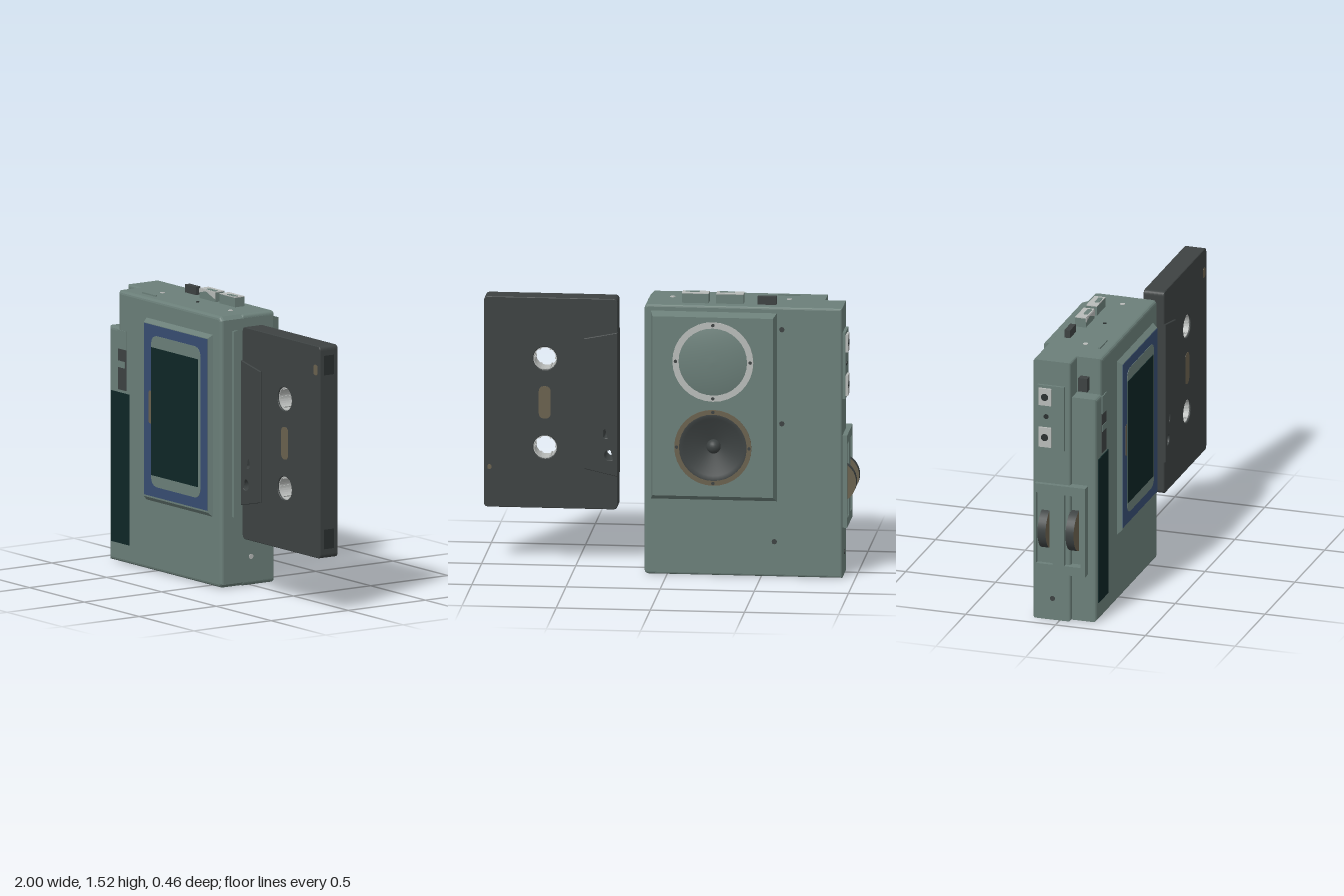
import * as THREE from 'three';

const paint = (name, color) => {
  const m = new THREE.MeshStandardMaterial({ color });
  m.name = name;
  return m;
};

// Outline with rounded corners; r may be [topRight, bottomRight, bottomLeft, topLeft]
function rect(x0, y0, x1, y1, r = 0, T = THREE.Shape) {
  const [a, b, c, d] = Array.isArray(r) ? r : [r, r, r, r];
  const s = new T();
  s.moveTo(x0 + c, y0);
  s.lineTo(x1 - b, y0);
  if (b) s.quadraticCurveTo(x1, y0, x1, y0 + b);
  s.lineTo(x1, y1 - a);
  if (a) s.quadraticCurveTo(x1, y1, x1 - a, y1);
  s.lineTo(x0 + d, y1);
  if (d) s.quadraticCurveTo(x0, y1, x0, y1 - d);
  s.lineTo(x0, y0 + c);
  if (c) s.quadraticCurveTo(x0, y0, x0 + c, y0);
  return s;
}
const disc = (x, y, r, T = THREE.Path) => {
  const s = new T();
  s.absarc(x, y, r, 0, Math.PI * 2);
  return s;
};
const poly = pts => new THREE.Shape(pts.map(p => new THREE.Vector2(...p)));

// Extrude between two z planes, with the bevel kept inside the outline
function slab(shape, z0, z1, bevel = 0, segs = 3) {
  const g = new THREE.ExtrudeGeometry(shape, {
    depth: z1 - z0 - 2 * bevel, bevelEnabled: bevel > 0, bevelSize: bevel,
    bevelThickness: bevel, bevelOffset: -bevel, bevelSegments: segs, curveSegments: 16,
  });
  return g.translate(0, 0, z0 + bevel);
}

// Slab whose outer rim slopes inwards at the plane zTip
function taperedSlab(shape, z0, z1, zTip, box, inset) {
  const g = slab(shape, z0, z1);
  const p = g.attributes.position, e = 1e-4;
  for (let i = 0; i < p.count; i++) {
    if (Math.abs(p.getZ(i) - zTip) > e) continue;
    const x = p.getX(i), y = p.getY(i);
    if (Math.abs(x - box[0]) < e) p.setX(i, x + inset[0]);
    if (Math.abs(x - box[2]) < e) p.setX(i, x - inset[0]);
    if (Math.abs(y - box[1]) < e) p.setY(i, y + inset[1]);
    if (Math.abs(y - box[3]) < e) p.setY(i, y - inset[2]);
  }
  g.computeVertexNormals();
  return g;
}

export function createModel() {
  const casing = paint('casing green grey', 0x6b7f79);
  const dark = paint('charcoal plastic', 0x3d4242);
  const deep = paint('recess black', 0x2a2f2f);
  const blue = paint('window blue', 0x374d72);
  const glass = paint('dark glass', 0x0e2626);
  const brown = paint('dull brown', 0x6a614e);
  const metal = paint('pale metal', 0xb8bbb9);

  const model = new THREE.Group();
  const player = new THREE.Group();
  player.name = 'player';
  const tape = new THREE.Group();
  tape.name = 'cassette';
  model.add(player, tape);

  const add = (parent, name, geo, mat) => {
    const m = new THREE.Mesh(geo, mat);
    m.name = name;
    parent.add(m);
    return m;
  };
  const box = (parent, name, mat, x0, x1, y0, y1, z0, z1) =>
    add(parent, name, new THREE.BoxGeometry(x1 - x0, y1 - y0, z1 - z0)
      .translate((x0 + x1) / 2, (y0 + y1) / 2, (z0 + z1) / 2), mat);

  // Body: back half, and a front half with a notched upper corner
  add(player, 'bodyBack', slab(rect(-0.93, 0, 0.12, 1.46, [0.025, 0.025, 0, 0]), -0.148, 0.06, 0.012), casing);
  add(player, 'bodyFront', slab(poly([[-0.905, 0.003], [0.1, 0.003], [0.12, 0.02], [0.12, 1.44], [0.1, 1.46],
    [-0.82, 1.46], [-0.82, 1.26], [-0.905, 1.26]]), -0.1, 0.197, 0.018), casing);
  box(player, 'notchButton', dark, -0.86, -0.82, 1.28, 1.355, 0.08, 0.13);

  // Cassette door with its layered window
  const door = [-0.565, 0.37, 0.045, 1.36];
  add(player, 'door', taperedSlab(rect(...door), 0.19, 0.223, 0.223, door, [0.014, 0.03, 0.025]), casing);
  add(player, 'doorPanel', slab(rect(-0.547, 0.41, 0.03, 1.332), 0.222, 0.225), blue);
  add(player, 'windowSurround', slab(rect(-0.48, 0.465, -0.03, 1.278, 0.06), 0.224, 0.227), casing);
  add(player, 'window', slab(rect(-0.475, 0.525, -0.05, 1.212), 0.226, 0.23), glass);
  add(player, 'windowMark', slab(rect(-0.502, 0.8, -0.478, 0.975, 0.01), 0.224, 0.2265), brown);

  // Front strip and slide switch
  box(player, 'frontStrip', glass, -0.88, -0.717, 0.105, 0.915, 0.195, 0.202);
  box(player, 'switchTrack', dark, -0.82, -0.745, 0.93, 1.15, 0.195, 0.2);
  box(player, 'switchMark', casing, -0.82, -0.755, 1.05, 1.085, 0.195, 0.202);
  box(player, 'switchCap', casing, -0.82, -0.745, 1.15, 1.25, 0.17, 0.202);

  // Top controls
  box(player, 'recordKey', dark, -0.575, -0.475, 1.44, 1.503, -0.092, -0.06);
  [[-0.4, -0.255], [-0.215, -0.073]].forEach(([a, b]) => {
    box(player, 'key', casing, a, b, 1.44, 1.51, -0.09, -0.03);
    add(player, 'keyTop', slab(rect(a, 0.03, b, 0.09), 0, 0.004).rotateX(-Math.PI / 2).translate(0, 1.51, 0), metal);
    add(player, 'keyTopInset', slab(rect(a + 0.05, 0.036, b - 0.015, 0.062, 0.01), 0, 0.002)
      .rotateX(-Math.PI / 2).translate(0, 1.5135, 0), casing);
  });
  add(player, 'keyFront', slab(poly([[-0.4, 1.49], [-0.34, 1.505], [-0.255, 1.475], [-0.255, 1.51], [-0.4, 1.51]]), -0.031, -0.028), metal);
  box(player, 'topTab', casing, -0.68, -0.56, 1.455, 1.468, 0.13, 0.142);

  // Screws: position and the axis they face
  const screw = (x, y, z, axis, mat = metal, r = 0.014) => {
    const g = new THREE.CylinderGeometry(r, r, 0.008, 12);
    if (axis === 'x') g.rotateZ(Math.PI / 2);
    if (axis === 'z') g.rotateX(Math.PI / 2);
    add(player, 'screw', g.translate(x, y, z), mat);
  };
  [-0.63, -0.01].forEach(x => screw(x, 1.459, 0.045, 'y'));
  screw(-0.31, 1.459, 0.045, 'y', deep, 0.01);
  [0.155, 0.74, 1.325].forEach(y => screw(0.119, y, 0.005, 'x'));
  [[-0.61, 1.34], [-0.61, 0.83], [-0.57, 0.19]].forEach(([x, y]) => screw(x, y, -0.147, 'z', dark));
  screw(-0.929, 0.12, -0.04, 'x', dark);
  box(player, 'sideRail', casing, 0.115, 0.136, 0.38, 1.38, 0.1, 0.128);

  // Left side: thumb wheels in a slotted housing
  const toLeft = (g, x) => g.rotateY(-Math.PI / 2).translate(x, 0, 0);
  const housing = rect(-0.13, 0.27, 0.15, 0.77);
  [-0.078, 0.078].forEach(z => {
    housing.holes.push(rect(z - 0.045, 0.32, z + 0.045, 0.72, 0, THREE.Path));
    add(player, 'thumbWheel', new THREE.CylinderGeometry(0.115, 0.115, 0.045, 36)
      .rotateX(Math.PI / 2).translate(-0.885, 0.51, z), [dark, brown, brown]);
  });
  add(player, 'wheelHousing', toLeft(slab(housing, 0, 0.055), -0.9), casing);

  // Left side: socket plate
  add(player, 'socketPlate', toLeft(slab(rect(-0.12, 0.965, 0.03, 1.325), 0, 0.025), -0.92), casing);
  [[0.98, 1.09], [1.215, 1.31]].forEach(([a, b]) => {
    box(player, 'socket', metal, -0.957, -0.94, a, b, -0.11, -0.04);
    add(player, 'socketHole', new THREE.CylinderGeometry(0.02, 0.02, 0.004, 16)
      .rotateZ(Math.PI / 2).translate(-0.957, (a + b) / 2, -0.075), deep);
  });
  screw(-0.944, 1.15, -0.07, 'x', deep);

  // Back speaker panel with a round opening
  const panelBox = [-0.585, 0.405, 0.088, 1.43];
  const cx = -0.25, domeY = 1.17, coneY = 0.705;
  const panel = rect(...panelBox);
  panel.holes.push(disc(cx, coneY, 0.185));
  add(player, 'speakerPanel', taperedSlab(panel, -0.207, -0.14, -0.207, panelBox, [0.017, 0.035, 0.02]), casing);

  // Lathed parts face the back
  const lathe = (name, pts, y, mat) => add(player, name,
    new THREE.LatheGeometry(pts.map(p => new THREE.Vector2(...p)), 40).rotateX(-Math.PI / 2).translate(cx, y, -0.207), mat);
  const ring = (name, y, r0, r1, mat) => {
    const s = disc(cx, y, r1, THREE.Shape);
    s.holes.push(disc(cx, y, r0));
    add(player, name, slab(s, -0.213, -0.2), mat);
    for (let i = 0; i < 4; i++) {
      const a = i * Math.PI / 2, m = (r0 + r1) / 2;
      screw(cx + m * Math.cos(a), y + m * Math.sin(a), -0.211, 'z', dark, 0.009);
    }
  };
  ring('domeRing', domeY, 0.182, 0.215, metal);
  ring('coneRing', coneY, 0.18, 0.205, brown);
  lathe('dome', [[0.185, 0.003], [0.15, 0.011], [0.1, 0.018], [0.05, 0.022], [0, 0.023]], domeY, casing);
  const cone = dark.clone();
  cone.name = 'charcoal cone';
  cone.side = THREE.DoubleSide;
  lathe('cone', [[0.185, 0.002], [0.17, 0.004], [0.155, -0.004], [0.04, -0.045], [0, -0.045]], coneY, cone);
  add(player, 'dustCap', new THREE.SphereGeometry(0.038, 20, 12).translate(cx, coneY, -0.175), dark);

  // Cassette shell, with holes shared by the thick end
  const smallHoles = () => [disc(0.325, 1.14, 0.028), disc(0.325, 0.59, 0.028),
    rect(0.31, 1.005, 0.358, 1.05, 0.01, THREE.Path), rect(0.31, 0.683, 0.358, 0.728, 0.01, THREE.Path)];
  const hubs = [1.105, 0.625];
  const shell = rect(0.285, 0.295, 0.995, 1.435, 0.025);
  shell.holes.push(...smallHoles(), ...hubs.map(y => disc(0.67, y, 0.063)));
  add(tape, 'shell', slab(shell, 0.063, 0.178, 0.003, 1), dark);
  const thick = poly([[0.284, 0.475], [0.462, 0.515], [0.462, 1.22], [0.284, 1.255]]);
  thick.holes.push(...smallHoles());
  add(tape, 'thickEnd', slab(thick, 0.052, 0.187, 0.003, 1), dark);

  // Toothed hubs
  hubs.forEach(y => {
    const s = disc(0.67, y, 0.0635, THREE.Shape);
    s.holes.push(disc(0.67, y, 0.058));
    add(tape, 'hub', slab(s, 0.072, 0.17), metal);
    for (let i = 0; i < 6; i++) {
      const a = i * Math.PI / 3;
      add(tape, 'hubTooth', new THREE.BoxGeometry(0.008, 0.008, 0.09).rotateZ(a)
        .translate(0.67 + 0.056 * Math.cos(a), y + 0.056 * Math.sin(a), 0.121), metal);
    }
  });

  // Windows, marks and edge recesses
  [[0.0615, 0.065], [0.176, 0.1795]].forEach(([a, b]) =>
    add(tape, 'tapeWindow', slab(rect(0.64, 0.78, 0.703, 0.955, 0.03), a, b), brown));
  add(tape, 'cornerMark', slab(rect(0.935, 1.277, 0.972, 1.333, 0.016), 0.176, 0.1795), brown);
  add(tape, 'backMark', slab(rect(0.955, 0.5, 0.975, 0.525, 0.008), 0.0615, 0.065), brown);
  [[0.345, 0.45], [1.28, 1.385]].forEach(([a, b]) =>
    box(tape, 'edgeRecess', deep, 0.99, 0.9965, a, b, 0.09, 0.155));

  return model;
}
